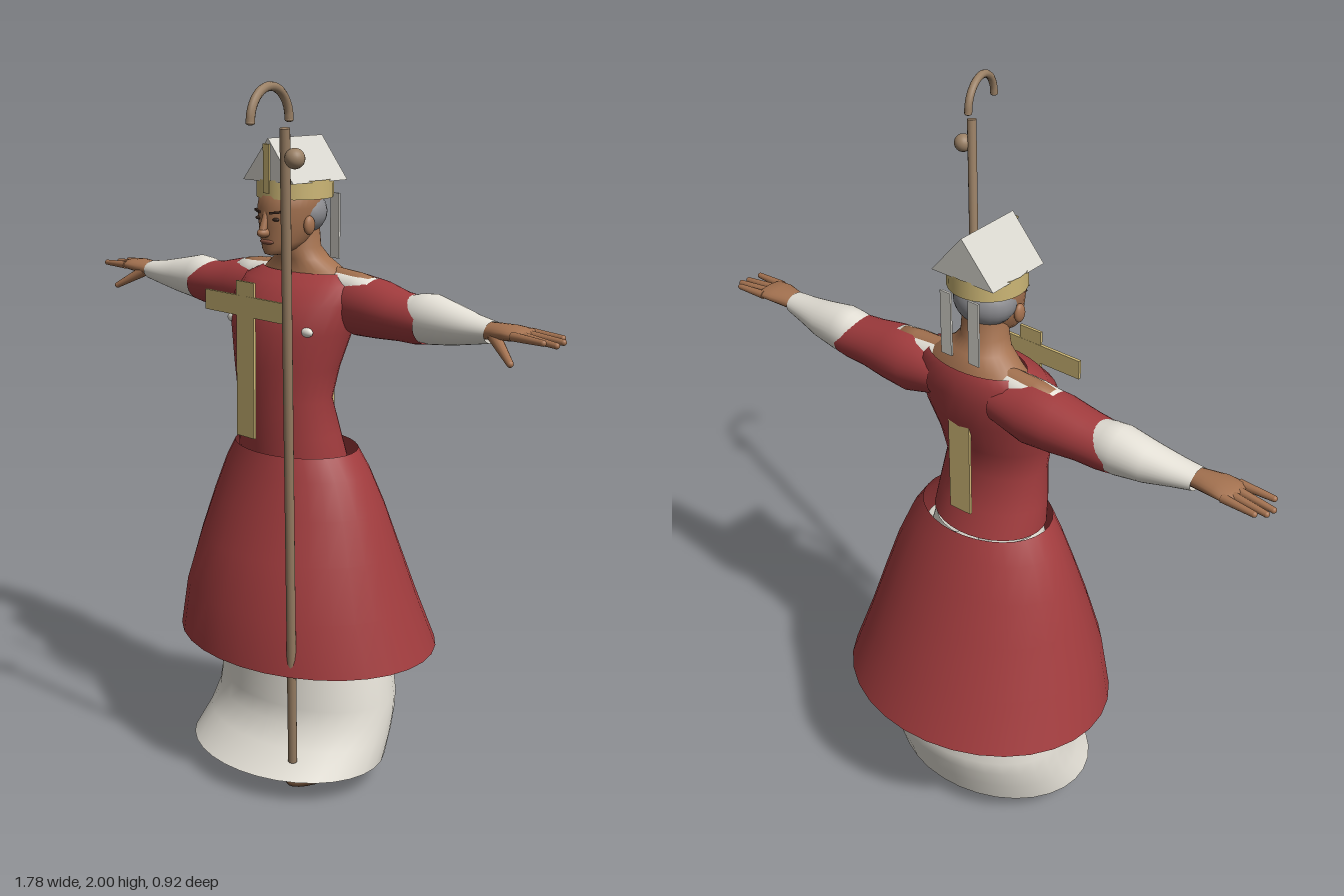
import * as THREE from 'three';

const mat = (name, color, side = THREE.FrontSide) => {
  const m = new THREE.MeshStandardMaterial({ color, side });
  m.name = name;
  return m;
};

// Surface through elliptical rings [t, centreU, centreV, radiusU, radiusV].
// axis 'y': u = x, v = z.  axis 'x': u = y, v = z, and s = -1 mirrors the part.
function loft(rings, axis = 'y', s = 1, seg = 32) {
  const pos = [], idx = [];
  for (const [t, cu, cv, ru, rv] of rings) {
    for (let j = 0; j < seg; j++) {
      const a = (j / seg) * Math.PI * 2;
      const u = cu + ru * Math.cos(a), v = cv + rv * Math.sin(a);
      pos.push(...(axis === 'y' ? [u, t, v] : [t * s, u, v]));
    }
  }
  const flip = axis === 'x' && s > 0;
  for (let i = 0; i < rings.length - 1; i++) {
    for (let j = 0; j < seg; j++) {
      const k = (j + 1) % seg;
      const a = i * seg + j, b = (i + 1) * seg + j, c = i * seg + k, d = (i + 1) * seg + k;
      idx.push(...(flip ? [a, c, b, b, c, d] : [a, b, c, b, d, c]));
    }
  }
  const g = new THREE.BufferGeometry();
  g.setAttribute('position', new THREE.Float32BufferAttribute(pos, 3));
  g.setIndex(idx);
  g.computeVertexNormals();
  return g;
}

// Ring given as [y, halfWidth, frontZ, backZ]
const upright = (rows, x = 0) => rows.map(([y, w, f, b]) => [y, x, (f + b) / 2, w, (f - b) / 2]);

export function createModel() {
  const root = new THREE.Group();
  root.name = 'robedFigure';

  const red = mat('redCloth', 0xa23c3e, THREE.DoubleSide);
  const white = mat('whiteCloth', 0xe8e4da, THREE.DoubleSide);
  const pale = mat('paleHat', 0xd6d4cc, THREE.DoubleSide);
  const gold = mat('goldTrim', 0xcdb776, THREE.DoubleSide);
  const skin = mat('skin', 0xa47250, THREE.DoubleSide);
  const hairGrey = mat('greyHair', 0x8c8c90);
  const wood = mat('staffWood', 0x9a8065);
  const shoe = mat('shoeBrown', 0x6b4c35);
  const dark = mat('darkFeature', 0x3c2a20);
  const lip = mat('lip', 0x8a5442);

  const add = (name, geo, material, x = 0, y = 0, z = 0) => {
    const m = new THREE.Mesh(geo, material);
    m.name = name;
    m.position.set(x, y, z);
    root.add(m);
    return m;
  };
  const box = (name, m, w, h, d, x, y, z) => add(name, new THREE.BoxGeometry(w, h, d), m, x, y, z);
  const ball = (name, m, rx, ry, rz, x, y, z) =>
    add(name, new THREE.SphereGeometry(1, 24, 16).scale(rx, ry, rz), m, x, y, z);
  // Rounded rod between two points
  const rod = (name, m, p, q, r0, r1 = r0) => {
    const a = new THREE.Vector3(...p), b = new THREE.Vector3(...q), d = b.clone().sub(a);
    const mesh = add(name, new THREE.CylinderGeometry(r1, r0, d.length(), 12), m);
    mesh.position.copy(a).add(b).multiplyScalar(0.5);
    mesh.quaternion.setFromUnitVectors(new THREE.Vector3(0, 1, 0), d.normalize());
    return mesh;
  };

  // Robes
  add('torso', loft(upright([
    [0.96, 0.17, 0.07, -0.2], [1.03, 0.165, 0.075, -0.175], [1.13, 0.153, 0.08, -0.145],
    [1.22, 0.17, 0.085, -0.165], [1.32, 0.195, 0.085, -0.2], [1.4, 0.21, 0.06, -0.21],
    [1.45, 0.2, 0.01, -0.205], [1.475, 0.15, -0.03, -0.195],
  ])), red);
  add('overSkirt', loft(upright([
    [0.4, 0.41, 0.215, -0.46], [0.55, 0.365, 0.205, -0.4], [0.7, 0.32, 0.16, -0.34],
    [0.82, 0.28, 0.12, -0.295], [0.92, 0.237, 0.09, -0.255], [0.98, 0.197, 0.075, -0.23],
  ])), red);
  add('underSkirt', loft(upright([
    [0.07, 0.315, 0.2, -0.3], [0.14, 0.308, 0.13, -0.32], [0.2, 0.302, 0.095, -0.335],
    [0.25, 0.297, 0.09, -0.345], [0.4, 0.28, 0.085, -0.33], [0.7, 0.22, 0.08, -0.26],
    [0.95, 0.16, 0.06, -0.2],
  ])), white);

  // Neck and head
  add('neck', loft(upright([
    [1.44, 0.17, -0.02, -0.195], [1.48, 0.135, -0.035, -0.185], [1.51, 0.085, -0.03, -0.165],
    [1.54, 0.064, -0.02, -0.145], [1.6, 0.06, -0.02, -0.14],
  ])), skin);
  add('head', loft(upright([
    [1.522, 0.006, 0.02, -0.01], [1.526, 0.028, 0.033, -0.03], [1.54, 0.045, 0.037, -0.07],
    [1.56, 0.06, 0.038, -0.11], [1.6, 0.075, 0.04, -0.138], [1.65, 0.083, 0.043, -0.148],
    [1.69, 0.082, 0.033, -0.145], [1.72, 0.05, 0, -0.11], [1.728, 0.004, -0.05, -0.06],
  ])), skin);
  ball('hair', hairGrey, 0.087, 0.068, 0.077, 0, 1.635, -0.079);
  ball('noseTip', skin, 0.016, 0.013, 0.022, 0, 1.585, 0.044);
  rod('noseBridge', skin, [0, 1.585, 0.05], [0, 1.64, 0.035], 0.012, 0.008);
  ball('mouth', lip, 0.026, 0.007, 0.008, 0, 1.56, 0.034);

  // Mitre: band, roof-shaped cap, stripe
  add('hatBand', new THREE.CylinderGeometry(0.105, 0.105, 0.05, 24, 1, true), gold, 0, 1.7, -0.07);
  const roof = new THREE.Shape([[-0.1, 0], [0.1, 0], [0, 0.115]].map(p => new THREE.Vector2(...p)));
  add('hatCap', new THREE.ExtrudeGeometry(roof, { depth: 0.2, bevelEnabled: false }), pale, 0, 1.72, -0.17);
  box('hatStripe', gold, 0.022, 0.13, 0.006, 0, 1.755, 0.035);

  // Front cross and back band
  box('crossUpright', gold, 0.07, 0.43, 0.008, 0, 1.245, 0.11);
  box('crossBar', gold, 0.33, 0.055, 0.009, 0, 1.393, 0.11);
  box('backBand', gold, 0.07, 0.31, 0.008, 0, 1.185, -0.19);

  for (const s of [1, -1]) {
    const side = s > 0 ? 'left' : 'right';
    // Sleeves
    add(side + 'Sleeve', loft([
      [0.1, 1.4, -0.13, 0.06, 0.07], [0.2, 1.395, -0.13, 0.084, 0.08], [0.28, 1.393, -0.125, 0.078, 0.08],
      [0.36, 1.387, -0.12, 0.066, 0.072], [0.42, 1.384, -0.12, 0.063, 0.068], [0.455, 1.382, -0.12, 0.056, 0.064],
    ], 'x', s), red);
    add(side + 'UnderSleeve', loft([
      [0.36, 1.39, -0.12, 0.05, 0.055], [0.43, 1.392, -0.122, 0.064, 0.062], [0.47, 1.393, -0.122, 0.066, 0.064],
      [0.55, 1.39, -0.118, 0.052, 0.056], [0.62, 1.39, -0.11, 0.038, 0.045], [0.68, 1.392, -0.105, 0.028, 0.037],
    ], 'x', s), white);

    // Bare shoulder opening with pale edge
    add(side + 'ShoulderSkin', loft([
      [0.08, 1.44, -0.12, 0.052, 0.036], [0.2, 1.44, -0.12, 0.044, 0.04],
      [0.25, 1.435, -0.12, 0.042, 0.036], [0.258, 1.435, -0.12, 0.005, 0.005],
    ], 'x', s), skin);
    add(side + 'ShoulderTrim', loft([
      [0.08, 1.44, -0.12, 0.048, 0.044], [0.2, 1.44, -0.12, 0.04, 0.051],
      [0.262, 1.435, -0.12, 0.039, 0.047], [0.268, 1.435, -0.12, 0.005, 0.005],
    ], 'x', s), white);
    ball(side + 'ChestPatch', white, 0.026, 0.014, 0.012, s * 0.145, 1.332, 0.026);

    // Hands
    add(side + 'Palm', loft([
      [0.66, 1.394, -0.105, 0.022, 0.03], [0.7, 1.397, -0.104, 0.022, 0.037], [0.74, 1.4, -0.104, 0.02, 0.046],
      [0.78, 1.4, -0.106, 0.016, 0.048], [0.795, 1.4, -0.106, 0.004, 0.03],
    ], 'x', s, 20), skin);
    [[0.86, -0.148], [0.88, -0.125], [0.882, -0.096], [0.865, -0.066]].forEach(([x, z], i) => {
      const base = -0.143 + i * 0.025, y = 1.398 - (i % 3) * 0.004;
      rod(side + 'Finger' + (i + 1), skin, [s * 0.77, 1.4, base], [s * x, y, z], 0.012, 0.008);
      ball(side + 'FingerTip' + (i + 1), skin, 0.008, 0.008, 0.008, s * x, y, z);
    });
    rod(side + 'Thumb', skin, [s * 0.7, 1.388, -0.085], [s * 0.785, 1.338, -0.045], 0.017, 0.009);
    ball(side + 'ThumbTip', skin, 0.009, 0.009, 0.009, s * 0.785, 1.338, -0.045);

    // Legs and feet
    add(side + 'Leg', loft(upright([
      [0.08, 0.036, -0.075, -0.155], [0.3, 0.05, -0.06, -0.17], [0.55, 0.06, -0.04, -0.17], [0.9, 0.075, -0.02, -0.17],
    ], s * 0.11)), white);
    add(side + 'Foot', loft(upright([
      [0, 0.01, -0.04, -0.06], [0.003, 0.052, 0.065, -0.17], [0.02, 0.057, 0.075, -0.18], [0.04, 0.05, 0.05, -0.175],
      [0.06, 0.044, -0.02, -0.165], [0.12, 0.038, -0.07, -0.16],
    ], s * 0.127), 'y', 1, 24), shoe);

    // Face details and hat ribbons
    ball(side + 'Ear', skin, 0.012, 0.026, 0.018, s * 0.083, 1.605, -0.045);
    ball(side + 'Eye', dark, 0.012, 0.005, 0.006, s * 0.034, 1.622, 0.032);
    const brow = box(side + 'Brow', dark, 0.036, 0.006, 0.008, s * 0.036, 1.641, 0.034);
    brow.rotation.y = s * 0.4;
    brow.rotation.z = s * 0.12;
    box(side + 'Ribbon', pale, 0.034, 0.18, 0.006, s * 0.045, 1.59, -0.18);
  }

  // Staff with knob and crook
  rod('staffPole', wood, [0.19, 0.12, 0.11], [0.365, 1.89, 0.305], 0.013);
  ball('staffKnob', wood, 0.025, 0.025, 0.025, 0.387, 1.82, 0.293);
  rod('staffTip', wood, [0.182, 0.055, 0.1], [0.182, 0.065, 0.101], 0.013);
  const arc = [];
  for (let i = 0; i <= 12; i++) {
    const a = (i / 12) * Math.PI, c = Math.cos(a);
    arc.push(new THREE.Vector3(0.385 - 0.018 * c, 1.91 + 0.079 * Math.sin(a), 0.37 - 0.077 * c));
  }
  const crook = new THREE.CatmullRomCurve3(arc);
  add('staffCrook', new THREE.TubeGeometry(crook, 24, 0.011, 10), wood);
  for (const p of [arc[0], arc[12]]) ball('crookEnd', wood, 0.011, 0.006, 0.011, p.x, p.y, p.z);

  return root;
}
